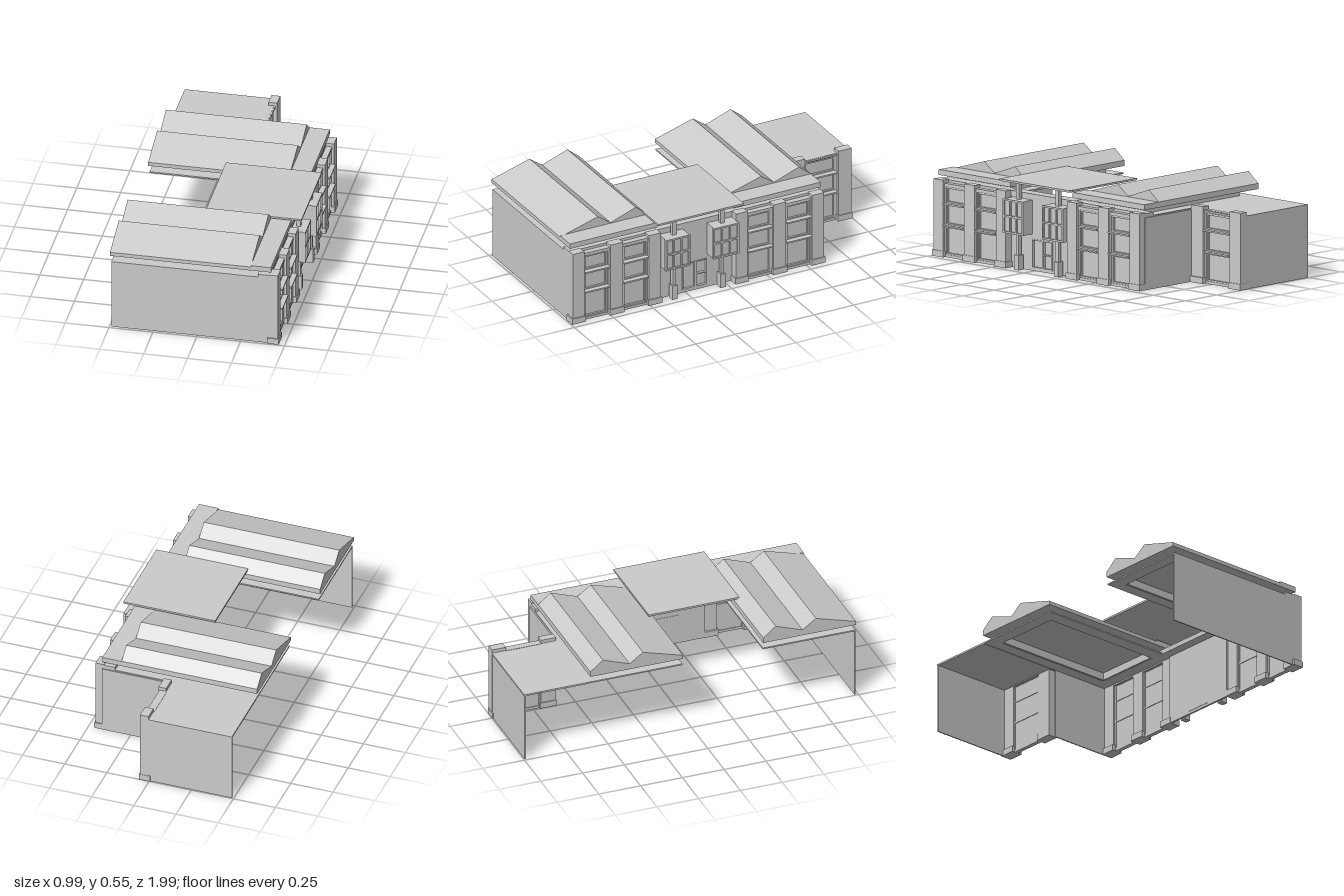
import * as THREE from 'three';

export function createModel() {
  const model = new THREE.Group();
  const mat = new THREE.MeshStandardMaterial({ color: 0xcccccc, flatShading: true, side: THREE.DoubleSide });

  function add(name, geo, parent = model) {
    const mesh = new THREE.Mesh(geo, mat);
    mesh.name = name;
    parent.add(mesh);
    return mesh;
  }
  function box(name, x0, x1, y0, y1, z0, z1, parent) {
    const geo = new THREE.BoxGeometry(x1 - x0, y1 - y0, z1 - z0);
    geo.translate((x0 + x1) / 2, (y0 + y1) / 2, (z0 + z1) / 2);
    return add(name, geo, parent);
  }
  // Extrude a z-y outline along x, from x0 to x1
  function extrudeX(name, points, holes, x0, x1, parent) {
    const toV = ([z, y]) => new THREE.Vector2(-z, y);
    const shape = new THREE.Shape(points.map(toV));
    for (const h of holes) shape.holes.push(new THREE.Path(h.map(toV)));
    const geo = new THREE.ExtrudeGeometry(shape, { depth: x1 - x0, bevelEnabled: false });
    geo.rotateY(Math.PI / 2);
    geo.translate(x0, 0, 0);
    return add(name, geo, parent);
  }
  const rect = (z0, z1, y0, y1) => [[z0, y0], [z1, y0], [z1, y1], [z0, y1]];

  // A frame of columns x rows of panes with glass set behind it
  function frame(name, x0, x1, z0, z1, y0, y1, cols, rows, bar, parent) {
    const holes = [];
    const w = (z1 - z0 - bar) / cols, h = (y1 - y0 - bar) / rows;
    for (let i = 0; i < cols; i++) for (let j = 0; j < rows; j++) {
      const z = z0 + bar + i * w, y = y0 + bar + j * h;
      holes.push(rect(z, z + w - bar, y, y + h - bar));
    }
    extrudeX(name, rect(z0, z1, y0, y1), holes, x0, x1, parent);
    box(name + 'Glass', x0 - 0.004, x0, y0, y1, z0, z1, parent);
  }

  // Recessed window bay; X is the face of the neighbouring piers
  function windowBay(X, z0, z1) {
    const g = new THREE.Group();
    g.name = 'windowBay';
    model.add(g);
    const rows = [[0.015, 0.175], [0.185, 0.302], [0.308, 0.398]];
    extrudeX('bayWall', rect(z0, z1, 0, 0.415),
      rows.map(([a, b]) => rect(z0 + 0.01, z1 - 0.01, a, b)), X - 0.04, X - 0.015, g);
    for (const [a, b] of rows)
      frame('window', X - 0.032, X - 0.02, z0 + 0.01, z1 - 0.01, a, b, 1, 1, 0.009, g);
    for (const y of [0.178, 0.300])
      box('windowSill', X - 0.02, X + 0.01, y, y + 0.009, z0 + 0.004, z1 - 0.004, g);
    box('bayParapet', X - 0.05, X - 0.012, 0.4, 0.418, z0, z1, g);
  }

  function pier(X, z0, z1) {
    box('pier', X - 0.05, X, 0, 0.437, z0, z1);
    box('pierBase', X - 0.062, X + 0.006, 0, 0.035, Math.max(z0 - 0.006, -1), Math.min(z1 + 0.006, 1));
  }

  // One wing: piers, bays, flat roof, clerestory and double-pitched roof
  function wing(d) {
    const X = 0.46;
    for (const [a, b] of [[0.915, 0.988], [0.67, 0.75], [0.43, 0.505]]) pier(X, a + d, b + d);
    for (const [a, b] of [[0.75, 0.915], [0.505, 0.67]]) windowBay(X, a + d, b + d);

    // Flat roof: a ring around the clerestory opening
    const [z0, z1] = [0.43 + d, 0.985 + d];
    const [i0, i1] = [0.5 + d, 0.91 + d];
    box('flatRoof', -0.49, -0.42, 0.408, 0.416, z0, z1);
    box('flatRoof', 0.34, 0.415, 0.408, 0.416, z0, z1);
    box('flatRoof', -0.42, 0.34, 0.408, 0.416, z0, i0);
    box('flatRoof', -0.42, 0.34, 0.408, 0.416, i1, z1);
    box('roofEdge', 0.345, 0.415, 0.416, 0.433, z0, z1);

    box('clerestory', -0.42, -0.412, 0.41, 0.455, i0, i1);
    box('clerestory', 0.332, 0.34, 0.41, 0.455, i0, i1);
    box('clerestory', -0.42, 0.34, 0.41, 0.455, i0, i0 + 0.008);
    box('clerestory', -0.42, 0.34, 0.41, 0.455, i1 - 0.008, i1);
    for (const z of [0.575, 0.74])
      frame('clerestoryWindow', 0.34, 0.348, z + d, z + 0.11 + d, 0.425, 0.447, 1, 1, 0.004);

    box('eavesSlab', -0.498, 0.42, 0.453, 0.475, z0, z1);
    box('frontEaves', 0.305, 0.42, 0.475, 0.484, z0, z1);
    extrudeX('pitchedRoof', [[0.985, 0.475], [0.745, 0.545], [0.665, 0.488], [0.505, 0.545],
      [0.43, 0.485], [0.43, 0.475]].map(([z, y]) => [z + d, y]), [], -0.498, 0.305);
  }
  wing(0);
  wing(-1.035);

  // Outer walls; the rear of the building is open
  box('sideWall', -0.49, 0.46, 0, 0.41, 0.978, 0.985);
  box('innerSideWall', 0.045, 0.42, 0, 0.41, -0.612, -0.605);
  box('annexSideWall', -0.49, 0.045, 0, 0.41, -0.995, -0.988);

  // Recessed annex
  pier(0.055, -0.998, -0.915);
  box('annexPier', 0.005, 0.05, 0, 0.437, -0.705, -0.615);
  box('annexPierBase', 0, 0.06, 0, 0.035, -0.711, -0.612);
  windowBay(0.05, -0.915, -0.705);
  box('annexRoof', -0.49, 0.045, 0.406, 0.416, -0.998, -0.605);

  // Entrance: recessed wall with doors
  const [e0, e1] = [-0.05, 0.43];
  extrudeX('entranceWall', rect(e0, e1, 0, 0.435), [rect(0.11, 0.27, 0.015, 0.18)], 0.4, 0.412);
  frame('entranceDoor', 0.402, 0.416, 0.185, 0.27, 0.015, 0.18, 1, 1, 0.007);
  frame('entranceWindow', 0.402, 0.416, 0.11, 0.185, 0.015, 0.18, 1, 2, 0.007);
  box('entranceRoof', 0.345, 0.415, 0.408, 0.435, e0, e1);

  // Projecting oriel windows, each on a post that carries the canopy
  for (const [a, b, p] of [[0.262, 0.418, 0.342], [-0.048, 0.115, 0.036]]) {
    box('oriel', 0.405, 0.484, 0.207, 0.4, a + 0.004, b - 0.004);
    frame('orielWindow', 0.486, 0.496, a, b, 0.207, 0.4, 3, 2, 0.01);
    box('lowerPost', 0.432, 0.456, 0.08, 0.207, p - 0.01, p + 0.01);
    box('postBase', 0.424, 0.464, 0, 0.085, p - 0.017, p + 0.017);
    box('upperPost', 0.432, 0.456, 0.4, 0.496, p - 0.012, p + 0.012);
  }
  box('canopy', -0.062, 0.483, 0.495, 0.506, -0.085, 0.458);

  return model;
}
